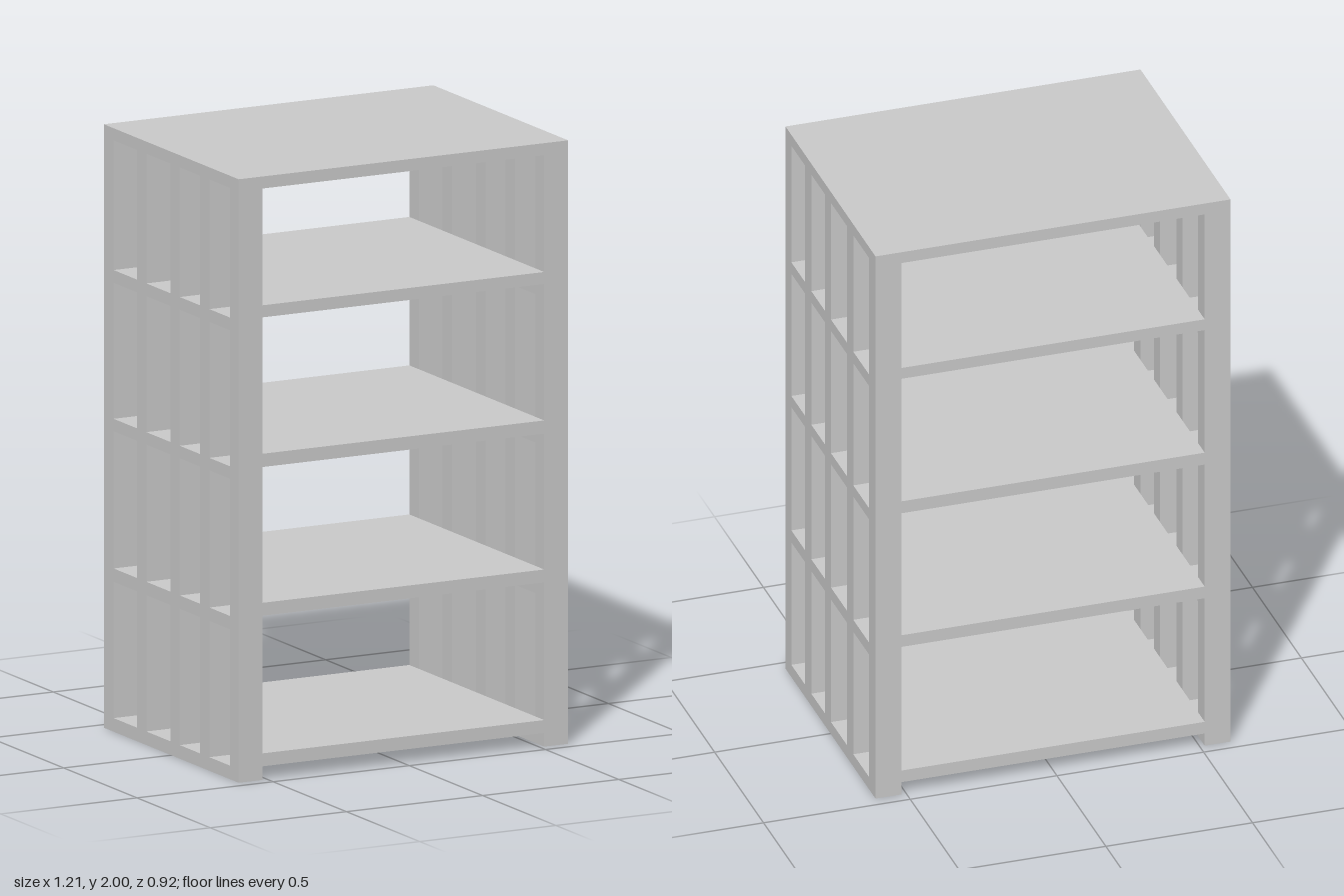
import * as THREE from 'three';

const HALF_W = 0.605, INNER = 0.517, HALF_D = 0.46, HEIGHT = 2;

// openings in the side frames, as [min, max] ranges
const COLUMNS = [[-0.393, -0.233], [-0.17, -0.005], [0.058, 0.196], [0.26, 0.4]];
const ROWS = [[0.045, 0.497], [0.541, 0.996], [1.037, 1.488], [1.53, 1.96]];
// shelf boards, as [bottom, top]
const SHELVES = [[0.045, 0.088], [0.544, 0.587], [1.037, 1.081], [1.533, 1.573], [1.96, 2]];

function rectangle(path, x0, x1, y0, y1) {
  path.moveTo(x0, y0);
  path.lineTo(x1, y0);
  path.lineTo(x1, y1);
  path.lineTo(x0, y1);
  path.closePath();
  return path;
}

export function createModel() {
  const group = new THREE.Group();
  group.name = 'shelfUnit';
  const material = new THREE.MeshStandardMaterial({ color: 0xcccccc, flatShading: true });

  // lattice side frame: drawn in the (-z, y) plane, extruded along x
  const outline = rectangle(new THREE.Shape(), -HALF_D, HALF_D, 0, HEIGHT);
  for (const [z0, z1] of COLUMNS)
    for (const [y0, y1] of ROWS)
      outline.holes.push(rectangle(new THREE.Path(), -z1, -z0, y0, y1));
  const frame = new THREE.ExtrudeGeometry(outline, { depth: HALF_W - INNER, bevelEnabled: false });
  frame.rotateY(Math.PI / 2);

  for (const [name, x] of [['leftFrame', INNER], ['rightFrame', -HALF_W]]) {
    const side = new THREE.Mesh(frame, material);
    side.name = name;
    side.position.x = x;
    group.add(side);
  }

  // boards spanning between the frames, the last one being the top
  SHELVES.forEach(([y0, y1], i) => {
    const board = new THREE.Mesh(new THREE.BoxGeometry(2 * INNER, y1 - y0, 2 * HALF_D), material);
    board.name = i === SHELVES.length - 1 ? 'topBoard' : `shelf${i + 1}`;
    board.position.y = (y0 + y1) / 2;
    group.add(board);
  });

  return group;
}
